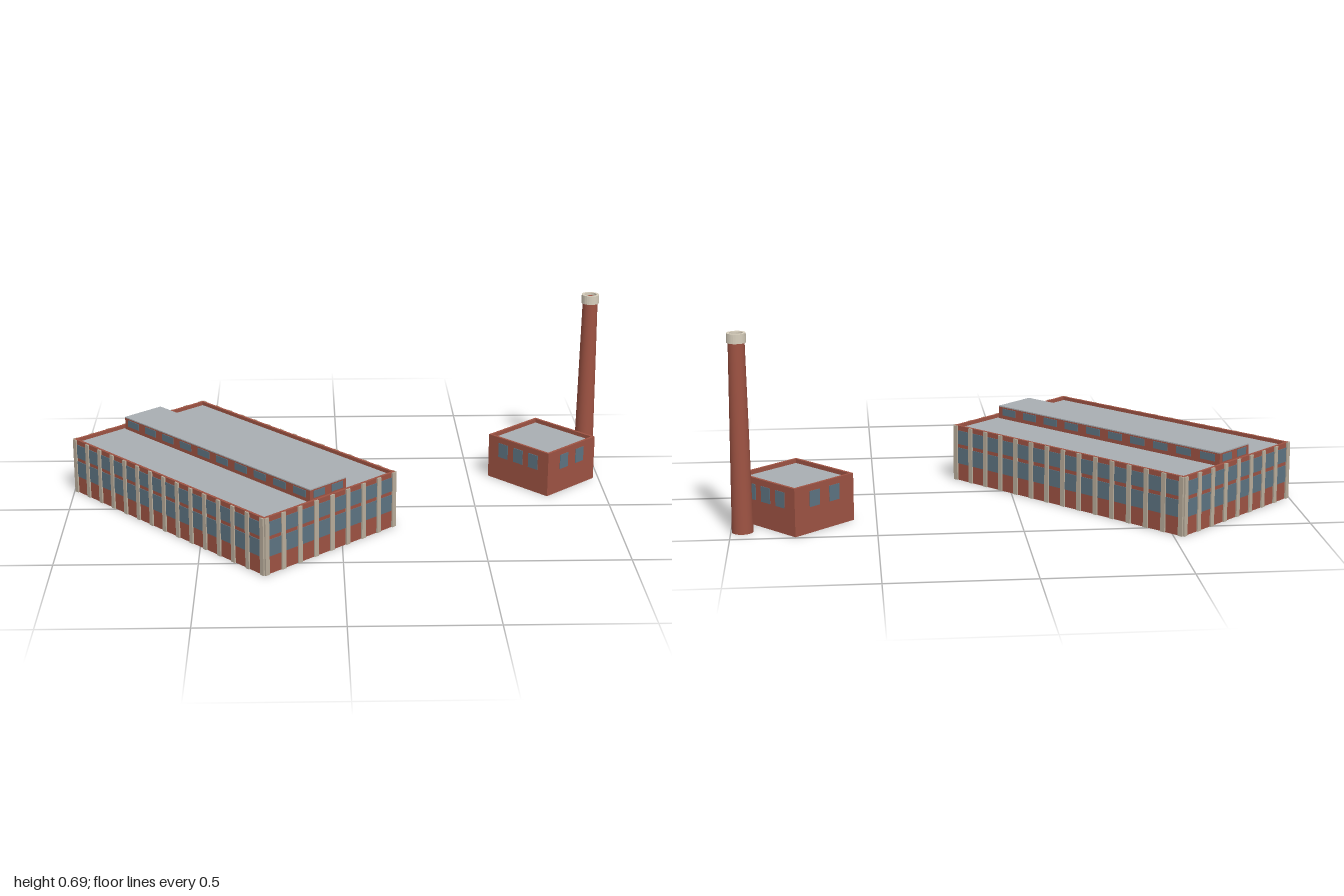
import * as THREE from 'three';

const mat = (color) => new THREE.MeshStandardMaterial({ color });
const brick = mat(0x9e5343);
const slate = mat(0xa9aeb2);
const glass = mat(0x5d7482);
const stone = mat(0xb9ad9b);
const cream = mat(0xd8cfbd);

function box(parent, name, material, w, h, d, x, y, z) {
  const mesh = new THREE.Mesh(new THREE.BoxGeometry(w, h, d), material);
  mesh.position.set(x, y, z);
  mesh.name = name;
  parent.add(mesh);
  return mesh;
}

// Calls decorate(side, length) for four sides; in each side group z = 0 is the outer wall face.
function fourSides(parent, length, width, decorate) {
  for (let k = 0; k < 4; k++) {
    const along = k % 2 === 0;
    const pivot = new THREE.Group();
    const side = new THREE.Group();
    pivot.name = 'wallSide';
    side.name = 'facade';
    pivot.rotation.y = k * Math.PI / 2;
    side.position.z = (along ? width : length) / 2;
    pivot.add(side);
    parent.add(pivot);
    decorate(side, along ? length : width, along);
  }
}

// Walls open at the bottom, with a flat roof sunk behind the parapet
function shell(parent, length, width, height, roofY) {
  const t = 0.01;
  fourSides(parent, length, width, (side, len, along) => {
    box(side, 'brickWall', brick, along ? len : len - 2 * t, height, t, 0, height / 2, -t / 2);
  });
  box(parent, 'flatRoof', slate, length - 2 * t, 0.006, width - 2 * t, 0, roofY - 0.003, 0);
}

function mainHall() {
  const hall = new THREE.Group();
  hall.name = 'mainHall';
  const L = 1.07, W = 0.628, H = 0.21;
  shell(hall, L, W, H, 0.197);

  // Two storeys of windows between stone pilasters
  fourSides(hall, L, W, (side, len, along) => {
    const bays = along ? 14 : 8;
    const step = (len - 0.018) / bays;
    for (let i = 0; i <= bays; i++) {
      const x = (i - bays / 2) * step;
      box(side, 'pilaster', stone, 0.018, H - 0.001, 0.006, x, H / 2, 0.003);
      if (i === bays) break;
      for (const [y0, y1] of [[0.065, 0.126], [0.14, 0.192]]) {
        box(side, 'window', glass, step * 0.74, y1 - y0, 0.003, x + step / 2, (y0 + y1) / 2, 0.001);
      }
    }
  });

  // Raised roof monitor with a clerestory
  const mL = 1.034, mW = 0.172;
  const monitor = new THREE.Group();
  monitor.name = 'roofMonitor';
  box(monitor, 'monitorWalls', brick, mL, 0.046, mW, 0, 0.219, 0);
  box(monitor, 'monitorRoof', slate, mL, 0.004, mW, 0, 0.244, 0);
  fourSides(monitor, mL, mW, (side, len, along) => {
    const n = along ? 10 : 2;
    for (let i = 0; i < n; i++) {
      box(side, 'clerestoryWindow', glass, len / n * 0.62, 0.026, 0.003,
        ((i + 0.5) / n - 0.5) * len, 0.224, 0.0005);
    }
  });
  hall.add(monitor);
  return hall;
}

function boilerHouse() {
  const house = new THREE.Group();
  house.name = 'boilerHouse';
  const L = 0.297, W = 0.272;
  shell(house, L, W, 0.17, 0.155);
  fourSides(house, L, W, (side, len, along) => {
    const n = along ? 3 : 2;
    for (let i = 0; i < n; i++) {
      box(side, 'window', glass, 0.046, 0.056, 0.003, ((i + 1) / (n + 1) - 0.5) * len, 0.12, 0.0005);
    }
  });
  return house;
}

function chimney() {
  const stack = new THREE.Group();
  stack.name = 'chimney';
  const shaft = new THREE.Mesh(new THREE.CylinderGeometry(0.028, 0.037, 0.685, 24), brick);
  shaft.name = 'chimneyShaft';
  shaft.position.y = 0.3425;
  // Hollow cap ring around the top of the shaft
  const profile = [[0.027, 0.662], [0.033, 0.662], [0.033, 0.695], [0.023, 0.695], [0.023, 0.68]]
    .map(([r, y]) => new THREE.Vector2(r, y));
  const ringMat = cream.clone();
  ringMat.side = THREE.DoubleSide;
  ringMat.flatShading = true;
  const cap = new THREE.Mesh(new THREE.LatheGeometry(profile, 24), ringMat);
  cap.name = 'chimneyCap';
  stack.add(shaft, cap);
  return stack;
}

export function createModel() {
  const model = new THREE.Group();
  model.name = 'factory';
  const turn = -0.828;

  const hall = mainHall();
  hall.position.set(-0.4, 0, -0.003);
  hall.rotation.y = turn;

  const house = boilerHouse();
  house.position.set(0.779, 0, -0.292);
  house.rotation.y = turn;

  const stack = chimney();
  stack.position.set(0.96, 0, -0.412);

  model.add(hall, house, stack);
  return model;
}
